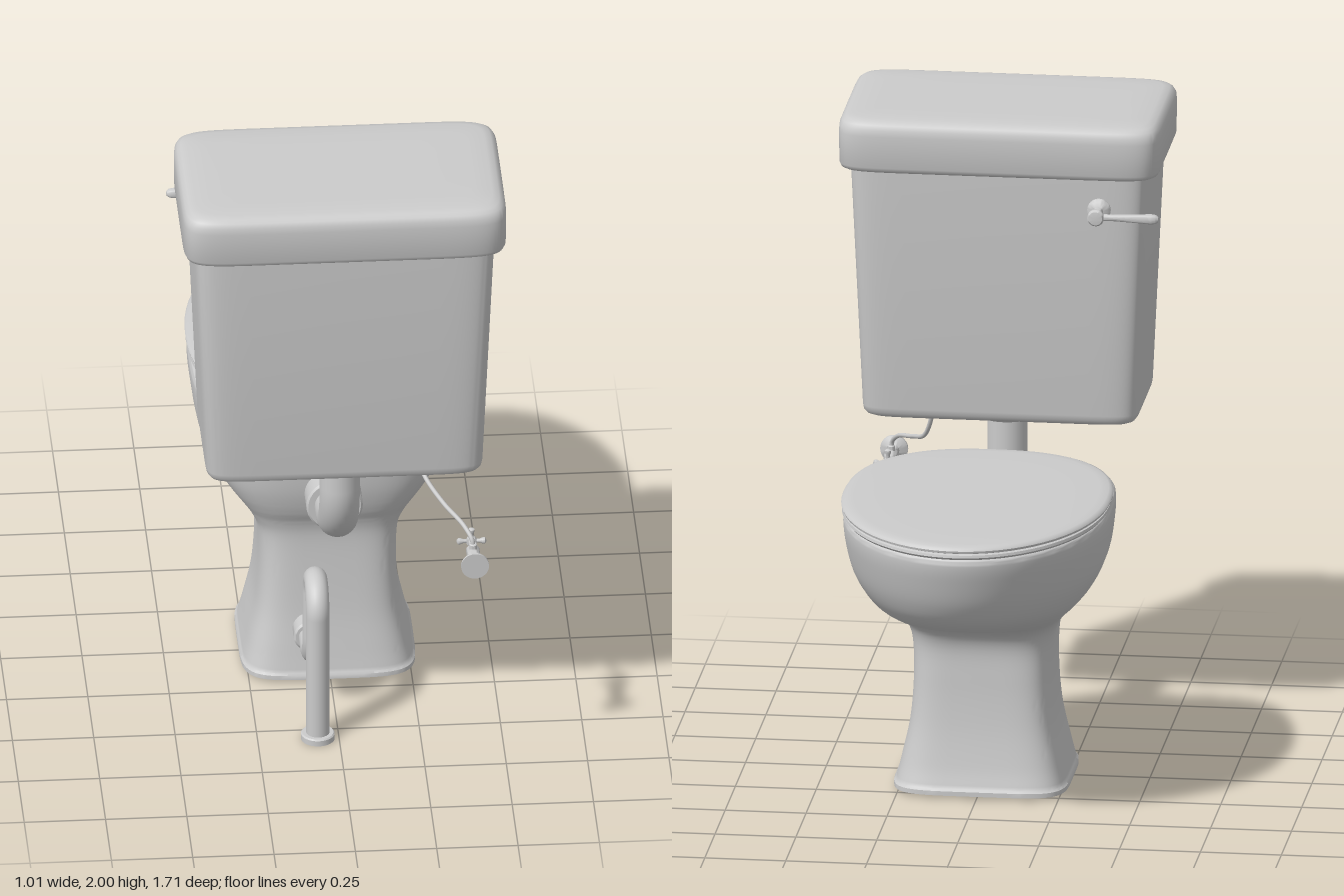
import * as THREE from 'three';
import { toCreasedNormals, mergeVertices } from 'three/addons/utils/BufferGeometryUtils.js';

const material = new THREE.MeshStandardMaterial({ color: 0xcccccc, side: THREE.DoubleSide });
const SEGMENTS = 72;

// Row: [y, halfWidth, zOfWidest, zBack, zFront, backSquareness, frontSquareness, xCentre]
function loft(rows, capBottom = true, capTop = true) {
  const pos = [], idx = [];
  const power = (v, n) => Math.sign(v) * Math.pow(Math.abs(v) < 1e-9 ? 0 : Math.abs(v), 2 / n);
  for (const [y, w, zc, zb, zf, nb, nf, cx = 0] of rows) {
    for (let i = 0; i < SEGMENTS; i++) {
      const a = (i / SEGMENTS) * Math.PI * 2, s = Math.sin(a), n = s > 0 ? nb : nf;
      pos.push(cx + w * power(Math.cos(a), n), y, zc + (s > 0 ? zb - zc : zc - zf) * power(s, n));
    }
  }
  const last = (rows.length - 1) * SEGMENTS;
  for (let r = 0; r < last; r += SEGMENTS) {
    for (let i = 0; i < SEGMENTS; i++) {
      const a = r + i, b = r + (i + 1) % SEGMENTS;
      idx.push(a, a + SEGMENTS, b, b, a + SEGMENTS, b + SEGMENTS);
    }
  }
  const cap = (row, base, up) => {
    const c = pos.length / 3;
    pos.push(row[7] ?? 0, row[0], row[2]);
    for (let i = 0; i < SEGMENTS; i++) {
      const a = base + i, b = base + (i + 1) % SEGMENTS;
      idx.push(c, up ? b : a, up ? a : b);
    }
  };
  if (capBottom) cap(rows[0], 0, false);
  if (capTop) cap(rows[rows.length - 1], last, true);
  const g = new THREE.BufferGeometry();
  g.setAttribute('position', new THREE.Float32BufferAttribute(pos, 3));
  g.setIndex(idx);
  return toCreasedNormals(g, 0.8);
}

// Smoothly interpolates between key rows
function smoothRows(keys, count) {
  const curves = [0, 3, 6].map(k => new THREE.CatmullRomCurve3(
    keys.map(r => new THREE.Vector3(r[k], r[k + 1] ?? 0, r[k + 2] ?? 0)), false, 'catmullrom', 0.5));
  return Array.from({ length: count + 1 }, (_, i) =>
    curves.flatMap(c => c.getPoint(i / count).toArray()).slice(0, 7));
}

export function createModel() {
  const model = new THREE.Group();
  const V = (x, y, z) => new THREE.Vector3(x, y, z);
  const add = (name, geometry, parent = model) => {
    const m = new THREE.Mesh(geometry, material);
    m.name = name;
    parent.add(m);
    return m;
  };
  const group = name => {
    const g = new THREE.Group();
    g.name = name;
    model.add(g);
    return g;
  };
  // Turned part from [radius, distance] points, running from a point along a direction
  const turned = (name, parent, from, dir, profile) => {
    const g = new THREE.LatheGeometry(profile.map(p => new THREE.Vector2(...p)), 32);
    const m = add(name, toCreasedNormals(g, 0.6), parent);
    m.position.copy(from);
    m.quaternion.setFromUnitVectors(V(0, 1, 0), dir.clone().normalize());
    return m;
  };
  const collar = (r, h, e = 0.006) => [[0, 0], [r - e, 0], [r, e], [r, h - e], [r - e, h], [0, h]];
  // Pipe made of straight runs and rounded corners: points are [x, y, z, bendRadius]
  const pipe = (name, parent, points, radius, segments = 100) => {
    const path = new THREE.CurvePath(), p = points.map(q => V(q[0], q[1], q[2]));
    let start = p[0];
    for (let i = 1; i < p.length - 1; i++) {
      const r = points[i][3], k = r * 0.5523;
      const back = p[i - 1].clone().sub(p[i]).normalize(), ahead = p[i + 1].clone().sub(p[i]).normalize();
      const a = p[i].clone().addScaledVector(back, r), b = p[i].clone().addScaledVector(ahead, r);
      if (start.distanceTo(a) > 1e-3) path.add(new THREE.LineCurve3(start, a));
      path.add(new THREE.CubicBezierCurve3(a, a.clone().addScaledVector(back, -k),
        b.clone().addScaledVector(ahead, -k), b));
      start = b;
    }
    path.add(new THREE.LineCurve3(start, p[p.length - 1]));
    return add(name, new THREE.TubeGeometry(path, segments, radius, 24), parent);
  };

  // Bowl and pedestal: open underneath, with an inner wall
  const bowlRows = smoothRows([
    [0.03, 0.264, -0.045, 0.207, -0.293, 5, 5],
    [0.1, 0.247, -0.045, 0.195, -0.276, 5, 5],
    [0.22, 0.222, -0.045, 0.178, -0.258, 5, 5],
    [0.36, 0.212, -0.045, 0.168, -0.25, 5, 4.8],
    [0.48, 0.218, -0.05, 0.165, -0.256, 4.8, 4.2],
    [0.54, 0.243, -0.06, 0.175, -0.31, 4.5, 3.2],
    [0.585, 0.276, -0.09, 0.195, -0.45, 4.2, 2.6],
    [0.63, 0.313, -0.13, 0.21, -0.6, 4, 2.3],
    [0.685, 0.352, -0.18, 0.222, -0.725, 3.8, 2.1],
    [0.76, 0.387, -0.23, 0.23, -0.79, 3.6, 2],
    [0.86, 0.405, -0.26, 0.236, -0.831, 3.5, 2],
    [0.92, 0.407, -0.27, 0.235, -0.845, 3.5, 2],
    [0.938, 0.395, -0.27, 0.222, -0.835, 3.5, 2],
  ], 72);
  const footOuter = [0.27, -0.045, 0.213, -0.3, 5, 5];
  add('bowlAndPedestal', loft([
    [0.48, 0.19, -0.05, 0.14, -0.23, 4.8, 4.2],
    [0.3, 0.19, -0.045, 0.15, -0.23, 5, 5],
    [0.15, 0.212, -0.045, 0.165, -0.245, 5, 5],
    [0.01, 0.25, -0.045, 0.193, -0.28, 5, 5],
    [0.01, ...footOuter], [0.024, ...footOuter],
    ...bowlRows,
  ]));

  // Seat and closed lid, egg shaped
  const egg = (y, inset) => [y, 0.413 - inset, -0.28, 0.2 - inset, -0.855 + inset, 2.45, 2];
  add('seat', loft([egg(0.934, 0.02), egg(0.938, 0.008), egg(0.945, 0.002), egg(0.953, 0.004), egg(0.957, 0.015)]));
  add('seatLid', loft([egg(0.957, 0.01), egg(0.96, 0.002), egg(0.967, 0), egg(0.973, 0.004),
    egg(0.977, 0.014), egg(0.979, 0.04), egg(0.98, 0.15)]));

  // Tapered cistern with rounded edges and its overhanging lid
  const box = (y, w, zb, zf, inset, n) => [y, w - inset, (zb + zf) / 2, zb - inset, zf + inset, n, n, 0.005];
  const tank = (y, inset) => {
    const t = (y - 1.03) / 0.82;
    return box(y, 0.425 + 0.037 * t, 0.767 + 0.025 * t, 0.28 - 0.025 * t, inset, 11);
  };
  add('cistern', loft([tank(1.03, 0.04), tank(1.032, 0.022), tank(1.039, 0.009), tank(1.05, 0.002),
    tank(1.065, 0), tank(1.85, 0)]));
  const lid = (y, inset) => box(y, 0.497, 0.822, 0.228, inset, 10);
  add('cisternLid', loft([lid(1.832, 0.03), lid(1.833, 0.014), lid(1.838, 0.006), lid(1.85, 0.001),
    lid(1.95, 0), lid(1.97, 0.002), lid(1.984, 0.009), lid(1.993, 0.02), lid(1.998, 0.04), lid(2, 0.1)]));

  // Flush pipe from the cistern into the bowl
  const flush = group('flushPipe');
  pipe('flushPipeTube', flush, [[0.005, 1.02, 0.515], [0.005, 0.675, 0.515, 0.2], [0.005, 0.675, 0.2]], 0.062);
  turned('flushPipeTopCollar', flush, V(0.005, 0.99, 0.515), V(0, 1, 0), collar(0.096, 0.045));
  turned('flushPipeBowlCollar', flush, V(0.005, 0.675, 0.303), V(0, 0, -1), collar(0.087, 0.13));

  // Waste trap from the pedestal down to the floor
  const trap = group('wasteTrap');
  const tx = -0.065;
  pipe('wasteTrapTube', trap, [[tx, 0.005, 0.552], [tx, 0.51, 0.552, 0.0785], [tx, 0.51, 0.395, 0.0785],
    [tx, 0.175, 0.395, 0.1], [tx, 0.175, 0]], 0.036, 160);
  turned('wasteTrapFloorCollar', trap, V(tx, 0, 0.552), V(0, 1, 0),
    [[0.036, 0], [0.052, 0], [0.052, 0.018], [0.048, 0.022], [0.034, 0.022]]);
  turned('wasteTrapPedestalCollar', trap, V(tx, 0.175, 0.238), V(0, 0, -1), collar(0.051, 0.13));

  // Flush handle on the bowl side of the cistern
  const handle = group('flushHandle');
  turned('flushHandleBoss', handle, V(-0.31, 1.735, 0.27), V(0, 0, -1),
    [[0, 0], [0.036, 0], [0.036, 0.018], [0.028, 0.027], [0.015, 0.033], [0.014, 0.075],
      [0.023, 0.082], [0.026, 0.09], [0.026, 0.1], [0.021, 0.107], [0, 0.11]]);
  turned('flushHandleLever', handle, V(-0.31, 1.735, 0.18), V(-1, 0, 0),
    [[0, 0], [0.012, 0], [0.01, 0.05], [0.013, 0.12], [0.016, 0.17], [0.014, 0.185], [0.008, 0.193], [0, 0.195]]);

  // Wall supply valve with a cross handle
  const valve = group('supplyValve');
  const vx = 0.397, vy = 0.762;
  turned('supplyValveBody', valve, V(vx, vy, 0.85), V(0, 0, -1),
    [[0, 0], [0.043, 0], [0.043, 0.008], [0.033, 0.014], [0.018, 0.022], [0.013, 0.035], [0.013, 0.055],
      [0.02, 0.06], [0.021, 0.1], [0.014, 0.115], [0.01, 0.12], [0.01, 0.145], [0.016, 0.148],
      [0.016, 0.163], [0, 0.167]]);
  for (let i = 0; i < 4; i++) {
    const a = i * Math.PI / 2;
    turned('supplyValveArm', valve, V(vx, vy, 0.693), V(Math.cos(a), Math.sin(a), 0),
      [[0.006, 0], [0.006, 0.025], [0.01, 0.035], [0.01, 0.041], [0.005, 0.045], [0, 0.046]]);
  }
  turned('supplyValveOutlet', valve, V(vx, vy, 0.77), V(0, 1, 0), collar(0.012, 0.035, 0.003));

  // Thin supply hose up to the cistern
  const hose = new THREE.CatmullRomCurve3([V(0.23, 1.035, 0.47), V(0.235, 0.985, 0.478), V(0.262, 0.91, 0.53),
    V(0.315, 0.868, 0.64), V(0.37, 0.84, 0.73), V(0.393, 0.81, 0.766), V(vx, 0.785, 0.77)]);
  add('supplyHose', new THREE.TubeGeometry(hose, 60, 0.007, 12));
  turned('supplyHoseNut', model, V(0.23, 1.015, 0.47), V(0, 1, 0), collar(0.015, 0.02, 0.003));

  return model;
}
